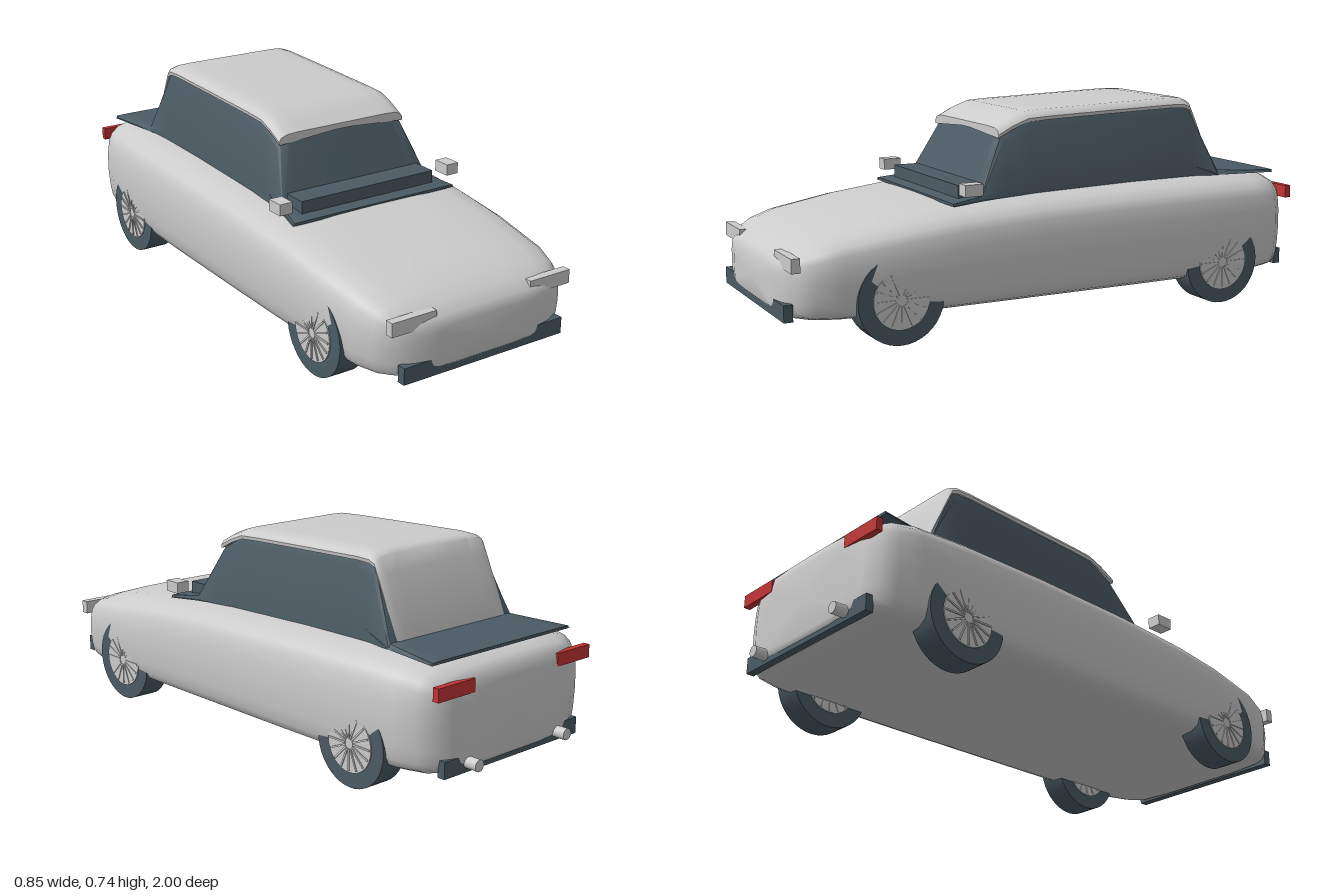
import * as THREE from 'three';
import { toCreasedNormals } from 'three/addons/utils/BufferGeometryUtils.js';

const paint = new THREE.MeshStandardMaterial({ color: 0xcccccc });
paint.name = 'light grey paint';
const dark = new THREE.MeshStandardMaterial({ color: 0x4b5b64 });
dark.name = 'dark slate';
const red = new THREE.MeshStandardMaterial({ color: 0xc43333 });
red.name = 'red lamp';

// Mirror a half outline (bottom centre to top centre, x >= 0) into a closed ring.
function ring(half, z) {
  const left = half.slice(1, -1).reverse().map(([x, y]) => [-x, y]);
  return [...half, ...left].map(([x, y]) => [x, y, z]);
}

// Skin closed rings ordered from front to back, with fan caps at both ends.
function loft(rings) {
  const n = rings[0].length, last = rings.length - 1;
  const pos = rings.flat(2), index = [];
  for (let i = 0; i < last; i++) {
    for (let j = 0; j < n; j++) {
      const a = i * n + j, b = i * n + (j + 1) % n;
      index.push(a, a + n, b, b, a + n, b + n);
    }
  }
  for (const r of [0, last]) {
    const centre = pos.length / 3;
    const box = new THREE.Box3().setFromPoints(rings[r].map((p) => new THREE.Vector3(...p)));
    pos.push(...box.getCenter(new THREE.Vector3()).toArray());
    for (let j = 0; j < n; j++) {
      const a = r * n + j, b = r * n + (j + 1) % n;
      index.push(centre, r ? b : a, r ? a : b);
    }
  }
  const g = new THREE.BufferGeometry();
  g.setAttribute('position', new THREE.Float32BufferAttribute(pos, 3));
  g.setIndex(index);
  g.computeVertexNormals();
  return g;
}

export function createModel() {
  const car = new THREE.Group();
  car.name = 'car';

  function add(name, geometry, material, x = 0, y = 0, z = 0, parent = car) {
    const m = new THREE.Mesh(geometry, material);
    m.name = name;
    m.position.set(x, y, z);
    parent.add(m);
    return m;
  }
  // Box given by its limits on each axis
  function box(name, material, x0, x1, y0, y1, z0, z1) {
    const g = new THREE.BoxGeometry(x1 - x0, y1 - y0, z1 - z0);
    return add(name, g, material, (x0 + x1) / 2, (y0 + y1) / 2, (z0 + z1) / 2);
  }

  // Body shell: one rounded outline scaled along the length
  const outline = [
    [0, 0], [0.5, 0], [0.84, 0.025], [0.93, 0.07], [0.965, 0.14], [0.985, 0.26], [1, 0.46],
    [0.995, 0.64], [0.975, 0.78], [0.94, 0.86], [0.86, 0.93], [0.7, 0.975], [0.4, 0.995], [0, 1],
  ];
  const stations = [ // z, half width, bottom, top
    [1.0, 0.2, 0.125, 0.26], [0.985, 0.28, 0.112, 0.29], [0.95, 0.345, 0.097, 0.318],
    [0.9, 0.378, 0.09, 0.342], [0.82, 0.4, 0.086, 0.367], [0.6, 0.42, 0.084, 0.405],
    [0.4, 0.425, 0.084, 0.43], [0.1, 0.427, 0.084, 0.45], [-0.3, 0.426, 0.084, 0.46],
    [-0.6, 0.42, 0.084, 0.462], [-0.8, 0.407, 0.086, 0.458], [-0.88, 0.385, 0.09, 0.448],
    [-0.925, 0.345, 0.098, 0.432], [-0.95, 0.29, 0.11, 0.412], [-0.962, 0.2, 0.13, 0.375],
  ];
  add('body', loft(stations.map(([z, w, lo, hi]) =>
    ring(outline.map(([x, y]) => [x * w, lo + y * (hi - lo)]), z))), paint);

  // Cabin glass, running out into thin aprons at front and back
  const cabin = [ // z, base half width, top half width, base, top
    [0.41, 0.34, 0.33, 0.424, 0.434], [0.29, 0.312, 0.3, 0.43, 0.45],
    [0.195, 0.303, 0.25, 0.435, 0.648], [0.09, 0.3, 0.25, 0.44, 0.708],
    [-0.5, 0.292, 0.25, 0.45, 0.725], [-0.57, 0.292, 0.25, 0.45, 0.715],
    [-0.68, 0.3, 0.285, 0.45, 0.468], [-0.9, 0.332, 0.325, 0.45, 0.46],
  ];
  const glass = cabin.map(([z, bw, tw, lo, hi]) => {
    const h = hi - lo;
    return ring([[0, lo], [bw, lo], [bw * 0.985, lo + h * 0.15],
      [tw + 0.25 * (bw - tw), lo + h * 0.82], [tw, lo + h * 0.93], [tw * 0.85, hi], [0, hi]], z);
  });
  add('cabinGlass', toCreasedNormals(loft(glass), 0.6), dark);

  // Roof shell that continues down over the rear slope
  const roofLine = [[0.205, 0.667], [0.15, 0.695], [0.09, 0.717], [0, 0.722], [-0.25, 0.73],
    [-0.5, 0.737], [-0.55, 0.735], [-0.575, 0.725], [-0.6, 0.672], [-0.686, 0.474]];
  const roof = roofLine.map(([z, y]) => ring([[0, y - 0.02], [0.12, y - 0.02], [0.235, y - 0.032],
    [0.258, y - 0.036], [0.26, y - 0.024], [0.25, y - 0.01], [0.225, y - 0.002],
    [0.18, y], [0, y]], z));
  add('roof', toCreasedNormals(loft(roof), 0.75), paint);

  // Cowl and bumpers
  box('cowl', dark, -0.275, 0.275, 0.435, 0.484, 0.2, 0.365);
  box('frontBumper', dark, -0.322, 0.322, 0.098, 0.155, 0.965, 0.996);
  box('rearBumper', dark, -0.322, 0.322, 0.098, 0.155, -0.953, -0.925);

  // Wheels: tyre, hub and spokes
  const tyre = new THREE.CylinderGeometry(0.15, 0.15, 0.096, 40).rotateZ(Math.PI / 2);
  const hub = new THREE.CylinderGeometry(0.098, 0.098, 0.104, 32).rotateZ(Math.PI / 2);
  const spoke = new THREE.BoxGeometry(0.11, 0.075, 0.006).translate(0, 0.055, 0);
  for (const z of [0.63, -0.625]) {
    for (const s of [1, -1]) {
      const wheel = new THREE.Group();
      wheel.name = (z > 0 ? 'front' : 'rear') + (s > 0 ? 'Left' : 'Right') + 'Wheel';
      wheel.position.set(s * 0.36, 0.15, z);
      car.add(wheel);
      add('tyre', tyre, dark, 0, 0, 0, wheel);
      add('hub', hub, paint, 0, 0, 0, wheel);
      for (let i = 0; i < 16; i++) {
        add('spoke', spoke, paint, 0, 0, 0, wheel).rotation.x = (i * Math.PI) / 8;
      }
    }
  }

  // Paired fittings: lamps, mirrors and exhausts
  const pipe = new THREE.CylinderGeometry(0.02, 0.02, 0.09, 20).rotateX(Math.PI / 2);
  for (const s of [1, -1]) {
    const side = s > 0 ? 'left' : 'right';
    const pair = (name, material, x0, x1, ...rest) =>
      box(side + name, material, Math.min(s * x0, s * x1), Math.max(s * x0, s * x1), ...rest);
    pair('Headlight', paint, 0.19, 0.36, 0.262, 0.31, 0.95, 0.98);
    pair('TailLight', red, 0.2, 0.365, 0.355, 0.4, -0.96, -0.937);
    pair('Mirror', paint, 0.325, 0.374, 0.46, 0.5, 0.32, 0.385);
    add(side + 'Exhaust', pipe, paint, s * 0.215, 0.13, -0.955);
  }
  return car;
}
